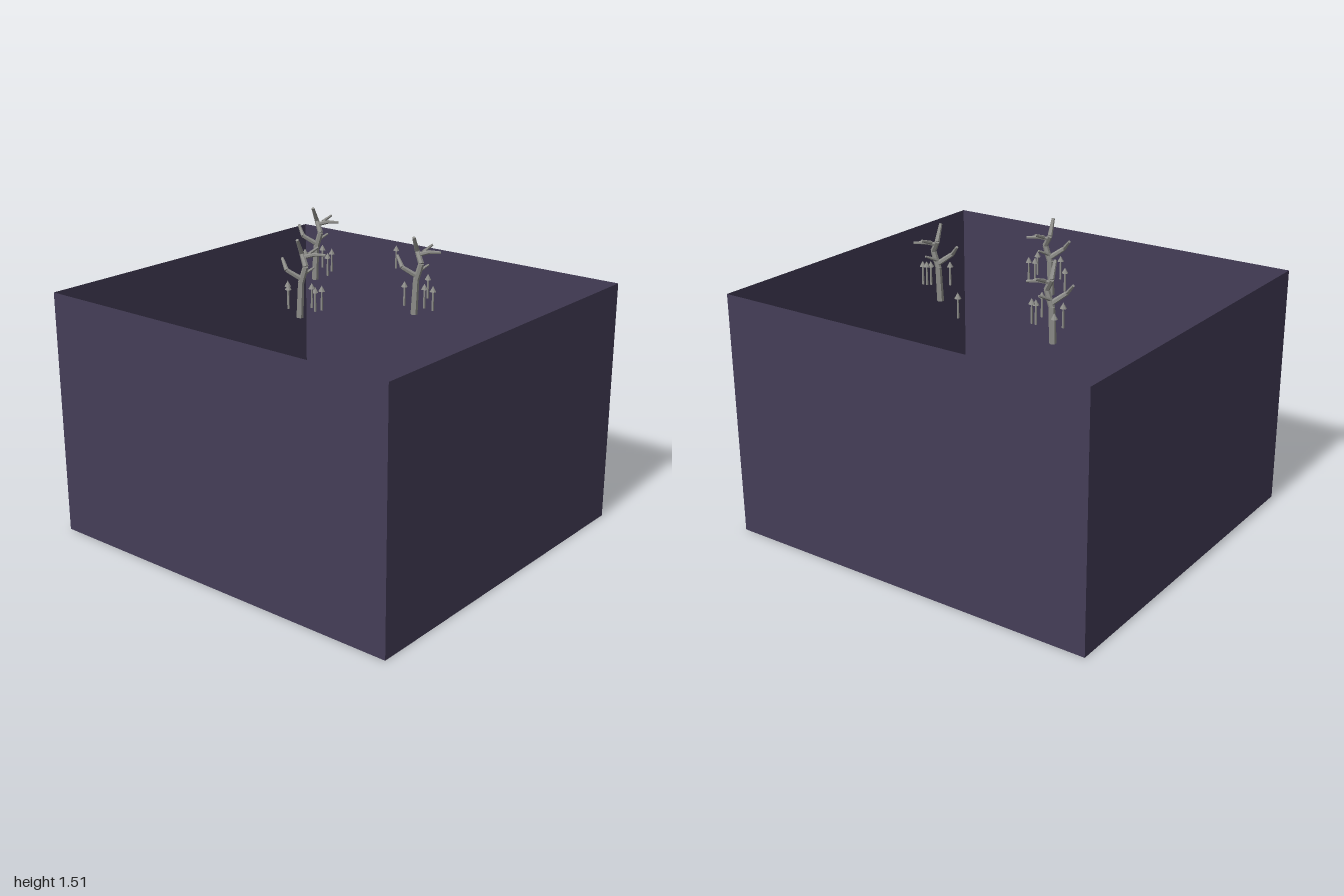
import * as THREE from 'three';

const wallMat = new THREE.MeshStandardMaterial({ color: 0x453e58, side: THREE.DoubleSide });
wallMat.name = 'dusk purple';
const stoneMat = new THREE.MeshStandardMaterial({ color: 0x8e8e8a, flatShading: true });
stoneMat.name = 'weathered grey';

const W = 2, H = 1.24, D = 1.84;

function add(parent, name, geo, mat) {
  const m = new THREE.Mesh(geo, mat);
  m.name = name;
  parent.add(m);
  return m;
}

// Tapered six-sided limb between consecutive [x, y, z, radius] points
function limb(parent, name, pts) {
  const up = new THREE.Vector3(0, 1, 0);
  for (let i = 0; i < pts.length - 1; i++) {
    const a = new THREE.Vector3(...pts[i]), b = new THREE.Vector3(...pts[i + 1]);
    const dir = b.clone().sub(a), len = dir.length();
    const m = add(parent, name, new THREE.CylinderGeometry(pts[i + 1][3], pts[i][3], len, 6), stoneMat);
    m.position.copy(a).add(b).multiplyScalar(0.5);
    m.quaternion.setFromUnitVectors(up, dir.normalize());
  }
}

// Bare twisted tree, shared by all three places
function tree(x, z) {
  const g = new THREE.Group();
  g.name = 'bareTree';
  limb(g, 'trunk', [[0, 1.13, 0, 0.017], [0.005, 1.3, -0.005, 0.015], [0.028, 1.38, -0.012, 0.014],
    [-0.008, 1.435, -0.027, 0.012], [0.005, 1.51, 0.02, 0.008]]);
  limb(g, 'leftBranch', [[0.005, 1.32, -0.005, 0.013], [-0.045, 1.362, 0.04, 0.011], [-0.09, 1.41, 0.02, 0.007]]);
  limb(g, 'rightBranch', [[0.005, 1.42, -0.025, 0.011], [0.04, 1.43, -0.06, 0.009], [0.085, 1.428, -0.09, 0.006]]);
  limb(g, 'backBranch', [[0.015, 1.43, -0.045, 0.009], [0.022, 1.453, -0.108, 0.006]]);
  limb(g, 'lowTwig', [[0.008, 1.335, -0.008, 0.009], [0.03, 1.365, -0.07, 0.005]]);
  g.position.set(x, 0, z);
  return g;
}

// Slim mushroom with a pointed cap
function mushroom(x, z, top) {
  const g = new THREE.Group();
  g.name = 'mushroom';
  add(g, 'stem', new THREE.CylinderGeometry(0.004, 0.006, 0.1, 6), stoneMat).position.y = -0.07;
  add(g, 'cap', new THREE.ConeGeometry(0.016, 0.028, 7), stoneMat).position.y = -0.014;
  g.position.set(x, top, z);
  return g;
}

export function createModel() {
  const model = new THREE.Group();

  // Open-topped box
  const box = new THREE.Group();
  box.name = 'openBox';
  model.add(box);
  add(box, 'floor', new THREE.PlaneGeometry(W, D), wallMat).rotation.x = -Math.PI / 2;
  for (const s of [1, -1]) {
    const zWall = add(box, s > 0 ? 'frontWall' : 'backWall', new THREE.PlaneGeometry(W, H), wallMat);
    zWall.position.set(0, H / 2, s * D / 2);
    zWall.rotation.y = s > 0 ? 0 : Math.PI;
    const xWall = add(box, s > 0 ? 'leftWall' : 'rightWall', new THREE.PlaneGeometry(D, H), wallMat);
    xWall.position.set(s * W / 2, H / 2, 0);
    xWall.rotation.y = s * Math.PI / 2;
  }

  // Trees
  for (const [x, z] of [[-0.45, -0.352], [0.323, -0.17], [-0.065, 0.215]]) model.add(tree(x, z));

  // Mushrooms: x, z, top height
  const spots = [
    [-0.507, -0.43, 1.305], [-0.46, -0.286, 1.305], [-0.355, -0.3, 1.34], [-0.327, -0.34, 1.315],
    [-0.327, -0.307, 1.3], [-0.055, -0.527, 1.34], [0.375, -0.206, 1.33], [0.32, -0.094, 1.31],
    [0.41, -0.13, 1.305], [0.455, -0.136, 1.3], [-0.157, 0.195, 1.29], [-0.07, 0.29, 1.31],
    [0.036, 0.222, 1.3], [0.058, 0.2, 1.305], [0.04, 0.25, 1.325],
  ];
  for (const s of spots) model.add(mushroom(...s));

  return model;
}
